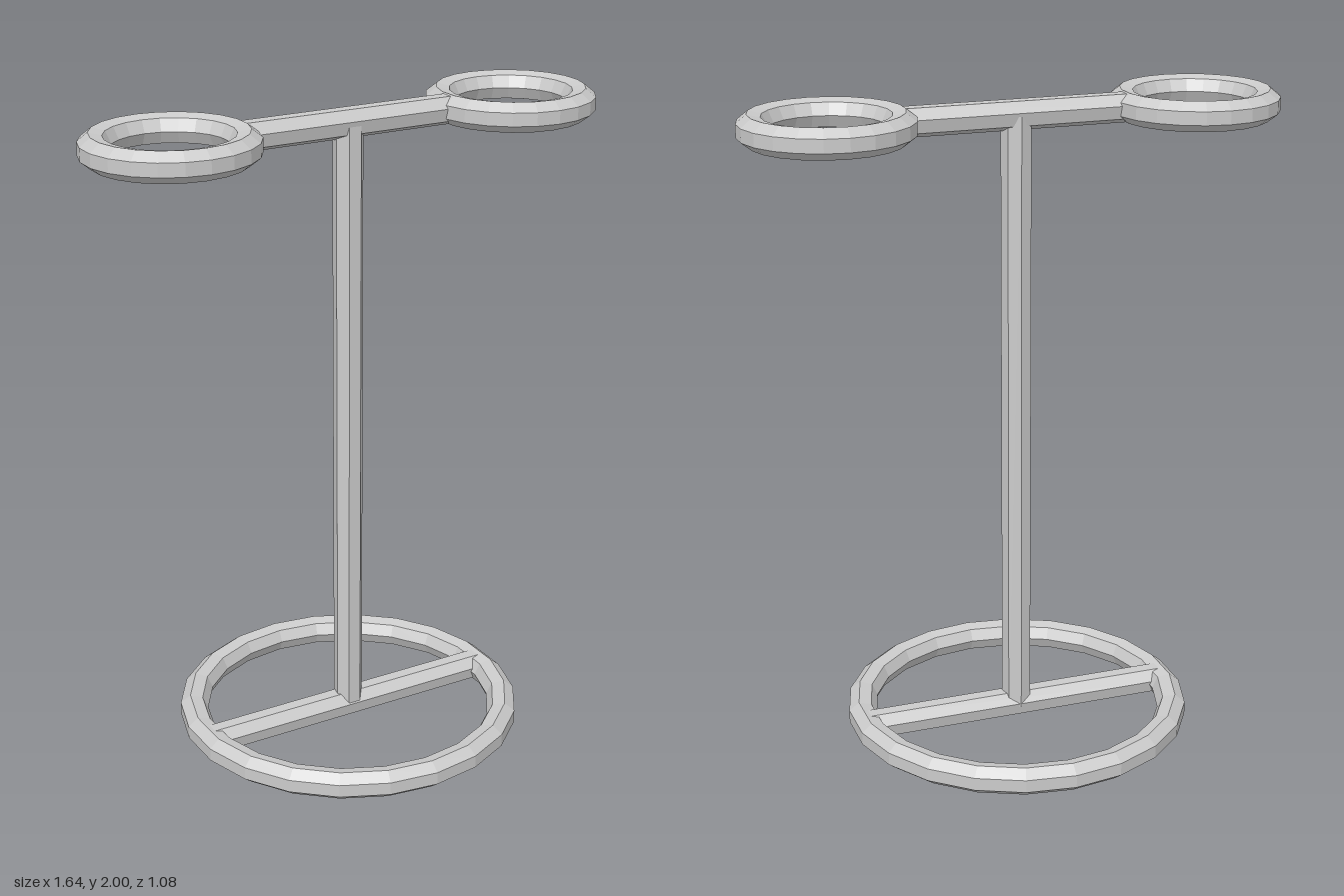
import * as THREE from 'three';

const SIDES = 7;        // sides of every tube
const R = 0.0463;       // tube radius
const BASE_Y = 0.045;
const TOP_Y = 1.955;

export function createModel() {
  const model = new THREE.Group();
  const material = new THREE.MeshStandardMaterial({ color: 0xcccccc, flatShading: true });

  const add = (name, geometry, x, y) => {
    const mesh = new THREE.Mesh(geometry, material);
    mesh.name = name;
    mesh.position.set(x, y, 0);
    model.add(mesh);
  };

  // Horizontal ring with a seven-sided section, flat on the outside
  const ring = (radius) => {
    const profile = [];
    for (let i = 0; i <= SIDES; i++) {
      const a = ((i - 0.5) / SIDES) * Math.PI * 2;
      profile.push(new THREE.Vector2(radius + R * Math.cos(a), R * Math.sin(a)));
    }
    return new THREE.LatheGeometry(profile, 22);
  };

  const rod = (length) => new THREE.CylinderGeometry(R, R, length, SIDES);
  const crossRod = (length) => rod(length).rotateZ(Math.PI / 2).rotateX(Math.PI / 2);

  // Base
  add('baseRing', ring(0.5), 0, BASE_Y);
  add('baseBar', crossRod(0.99), 0, BASE_Y);

  // Upright
  add('post', rod(TOP_Y - BASE_Y).rotateY(Math.PI), 0, (TOP_Y + BASE_Y) / 2);

  // Top bar with a ring at each end
  add('topBar', crossRod(0.7), 0, TOP_Y);
  for (const side of [1, -1]) {
    add(side > 0 ? 'leftHolderRing' : 'rightHolderRing', ring(0.215), side * 0.565, TOP_Y);
  }

  return model;
}
